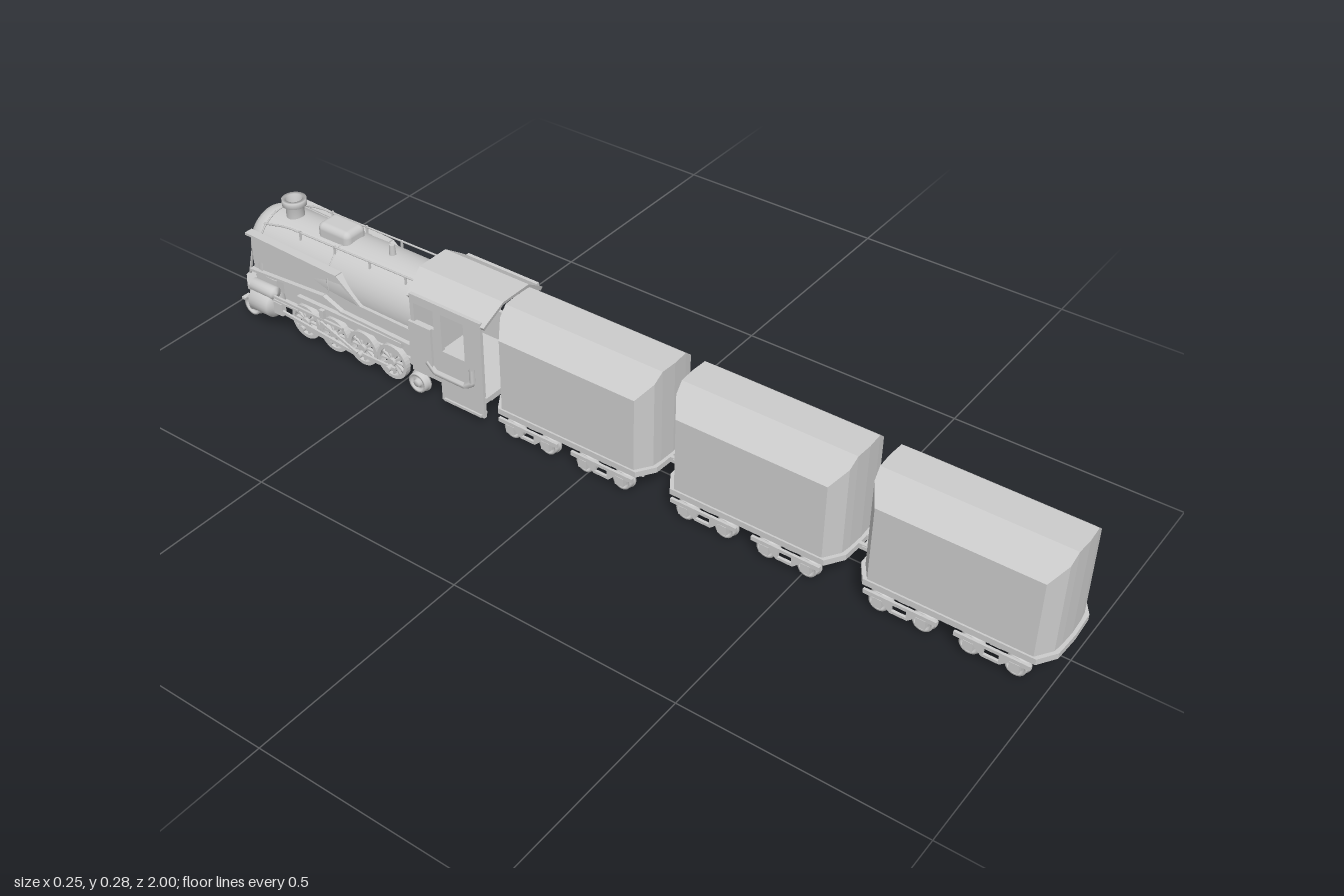
import * as THREE from 'three';
import { mergeGeometries } from 'three/addons/utils/BufferGeometryUtils.js';
import { ConvexGeometry } from 'three/addons/geometries/ConvexGeometry.js';
import { RoundedBoxGeometry } from 'three/addons/geometries/RoundedBoxGeometry.js';

const grey = new THREE.MeshStandardMaterial({ color: 0xcccccc, side: THREE.DoubleSide });
const V = (x, y, z) => new THREE.Vector3(x, y, z);
const SIDES = [-1, 1];

function add(parent, name, geo, x = 0, y = 0, z = 0) {
  const m = new THREE.Mesh(geo, grey);
  m.name = name;
  m.position.set(x, y, z);
  parent.add(m);
  return m;
}
const box = (w, h, d) => new THREE.BoxGeometry(w, h, d);
const axleCyl = (r, w, n = 20) => new THREE.CylinderGeometry(r, r, w, n).rotateZ(Math.PI / 2);
const tube = (pts, r) => {
  const path = new THREE.CurvePath();
  for (let i = 1; i < pts.length; i++) path.add(new THREE.LineCurve3(V(...pts[i - 1]), V(...pts[i])));
  return new THREE.TubeGeometry(path, 8 * (pts.length - 1), r, 6);
};

// Plate with an outline in (z, y), centred on x = 0
function plate(pts, t, holes = []) {
  const toV = p => p.map(([a, b]) => new THREE.Vector2(a, b));
  const s = new THREE.Shape(toV(pts));
  holes.forEach(h => s.holes.push(new THREE.Path(toV(h))));
  return new THREE.ExtrudeGeometry(s, { depth: t, bevelEnabled: false })
    .translate(0, 0, -t / 2).rotateY(-Math.PI / 2);
}
// Bar joining two (z, y) points
function bar(a, b, h, w) {
  const dz = b[0] - a[0], dy = b[1] - a[1];
  return box(w, h, Math.hypot(dz, dy)).rotateX(-Math.atan2(dy, dz))
    .translate(0, (a[1] + b[1]) / 2, (a[0] + b[0]) / 2);
}
// Solid of revolution along z, points are [radius, z]
const latheZ = (pts, n = 40) => new THREE.LatheGeometry(
  pts.map(([r, z]) => new THREE.Vector2(r, -z)), n).rotateX(-Math.PI / 2);

// Disc wheel with flange on its inner side
function discWheel(r) {
  const p = [[0, -.009], [r, -.009], [r, -.005], [r * .9, -.004], [r * .88, .008], [r * .7, .008],
    [r * .62, .003], [r * .35, .003], [r * .3, .01], [0, .01]];
  return new THREE.LatheGeometry(p.map(q => new THREE.Vector2(...q)), 24).toNonIndexed().rotateZ(-Math.PI / 2);
}
// Spoked driving wheel
function spokedWheel(r, n = 12) {
  const ring = new THREE.Shape().absarc(0, 0, r, 0, Math.PI * 2);
  ring.holes.push(new THREE.Path().absarc(0, 0, r * .8, 0, Math.PI * 2, true));
  const rim = new THREE.ExtrudeGeometry(ring, { depth: .014, bevelEnabled: false, curveSegments: 16 })
    .translate(0, 0, -.007).rotateY(Math.PI / 2);
  const parts = [rim, axleCyl(r * .25, .02, 14).toNonIndexed()];
  for (let i = 0; i < n / 2; i++)
    parts.push(box(.007, r * 1.7, .004).rotateX(i / n * 2 * Math.PI).toNonIndexed());
  parts.push(box(.011, r * .3, r * .9).translate(0, r * .65, 0).toNonIndexed());
  return mergeGeometries(parts);
}
function wheelSet(parent, name, geo, z, y, x) {
  for (const s of SIDES) add(parent, name, geo, s * x, y, z).rotation.y = s > 0 ? 0 : Math.PI;
  add(parent, 'axle', axleCyl(.005, 2 * x, 10), 0, y, z);
}

function wagon(zc) {
  const g = new THREE.Group();
  g.name = 'wagon';
  g.position.z = zc;
  // body with bowed ends and sloping roof sides
  const roofY = x => Math.min(.277, .277 - (x - .038) * .84);
  const pts = [];
  for (const [x, z] of [[.094, .165], [.06, .188], [.038, .191], [0, .193]])
    for (const sx of SIDES) for (const sz of SIDES)
      pts.push(V(sx * x, .06, sz * z), V(sx * x, roofY(x), sz * z));
  add(g, 'wagonBody', new ConvexGeometry(pts));
  // floor
  const deck = [];
  for (const [x, z] of [[.098, .172], [.06, .197], [0, .2]])
    for (const sx of SIDES) for (const sz of SIDES)
      deck.push(V(sx * x, .05, sz * z), V(sx * x, .063, sz * z));
  add(g, 'wagonFloor', new ConvexGeometry(deck));
  // trucks
  const wheel = discWheel(.024);
  for (const sz of SIDES) {
    const c = sz * .092;
    for (const d of SIDES) {
      wheelSet(g, 'wagonWheel', wheel, c + d * .045, .024, .087);
      for (const s of SIDES) add(g, 'axleBox', box(.012, .02, .02), s * .098, .027, c + d * .045);
    }
    add(g, 'truckBolster', box(.17, .012, .022), 0, .042, c);
    for (const s of SIDES) {
      add(g, 'truckFrame', plate([[-.075, .045], [.075, .045], [.075, .036], [.035, .034], [.018, .018],
        [-.018, .018], [-.035, .034], [-.075, .036]], .006, [[[-.015, .024], [-.015, .038], [.015, .038], [.015, .024]]]),
      s * .1, 0, c);
      add(g, 'brakeBar', box(.004, .004, .14), s * .055, .021, c);
    }
  }
  return g;
}

function cab() {
  const g = new THREE.Group();
  g.name = 'cab';
  const outline = [[-.265, .015], [-.265, .25], [-.452, .25], [-.452, .06], [-.378, .06], [-.378, .015]];
  const windows = [[[-.31, .14], [-.31, .23], [-.37, .23], [-.37, .14]],
    [[-.39, .185], [-.39, .23], [-.442, .23], [-.442, .185]]];
  for (const s of SIDES) {
    add(g, 'cabSide', plate(outline, .008, windows), s * .09);
    add(g, 'cabLocker', box(.01, .11, .06), s * .095, .13, -.425);
    add(g, 'cabPipe', tube([[0, .13, -.29], [0, .095, -.29], [0, .08, -.31], [0, .08, -.39], [0, .1, -.41]], .007), s * .096);
    add(g, 'cabStep', box(.02, .006, .1), s * .088, .02, -.32);
  }
  // arched roof, longer along the ridge than at the eaves
  const top = [[-.094, .243], [-.085, .25], [-.04, .281], [.04, .281], [.085, .25], [.094, .243]];
  const under = top.map(([x, y]) => [x * .95, y - .008]).reverse();
  const roof = new THREE.ExtrudeGeometry(new THREE.Shape([...top, ...under].map(p => new THREE.Vector2(...p))),
    { depth: .2, bevelEnabled: false }).translate(0, 0, -.1);
  const p = roof.attributes.position;
  for (let i = 0; i < p.count; i++)
    p.setZ(i, p.getZ(i) * (1 + (p.getY(i) - .235) * 2.2));
  roof.computeVertexNormals();
  add(g, 'cabRoof', roof, 0, 0, -.357);
  const wall = new THREE.Shape([[-.088, .06], [.088, .06], [.088, .245], [.04, .275], [-.04, .275], [-.088, .245]]
    .map(q => new THREE.Vector2(...q)));
  add(g, 'cabFrontWall', new THREE.ExtrudeGeometry(wall, { depth: .006, bevelEnabled: false }), 0, 0, -.452);
  add(g, 'cabFloor', box(.18, .012, .2), 0, .06, -.36);
  return g;
}

function engine() {
  const g = new THREE.Group();
  g.name = 'engine';
  g.add(cab());
  // boiler with domed nose
  add(g, 'boiler', latheZ([[.083, -.45], [.083, -.6], [.08, -.75], [.077, -.915]]), 0, .164);
  add(g, 'boilerNose', latheZ([[.077, -.915], [.076, -.927], [.07, -.94], [.055, -.951], [.03, -.958], [0, -.96]]), 0, .164);
  for (const z of [-.5, -.6, -.7, -.8, -.905])
    add(g, 'boilerBand', new THREE.TorusGeometry(.0805 + (z + .7) * -.015 + (z > -.65 ? .002 : 0) - (z < -.75 ? .005 : 0), .002, 6, 40), 0, .164, z);
  add(g, 'firebox', box(.14, .07, .45), 0, .1, -.69);
  add(g, 'mainFrame', box(.15, .012, .68), 0, .058, -.6);
  // chimney, dome
  const stack = [[.02, 0], [.02, .03], [.027, .032], [.027, .046], [.018, .046], [.016, .01]];
  add(g, 'chimney', new THREE.LatheGeometry(stack.map(q => new THREE.Vector2(...q)), 28), 0, .236, -.862);
  add(g, 'sandDome', new RoundedBoxGeometry(.06, .05, .09, 3, .014), 0, .244, -.725);
  add(g, 'safetyValve', new THREE.CylinderGeometry(.006, .008, .03, 12), 0, .255, -.58);
  // side casing, running board, handrails
  const casing = [[-.455, .15], [-.6, .152], [-.665, .203], [-.93, .212], [-.95, .19], [-.955, .14], [-.935, .12],
    [-.71, .135], [-.66, .115], [-.455, .11]];
  const board = [[-.455, .15], [-.6, .152], [-.665, .203], [-.93, .212]];
  const lower = [[-.455, .11], [-.66, .115], [-.71, .135], [-.93, .12]];
  for (const s of SIDES) {
    add(g, 'sideCasing', plate(casing.map(([z, y]) => [Math.max(z, -.925), y]), .012), s * .074);
    for (const line of [board, lower])
      for (let i = 1; i < line.length; i++) add(g, 'runningBoard', bar(line[i - 1], line[i], .006, .02), s * .08);
    add(g, 'handrail', tube([[0, .248, -.46], [0, .242, -.84], [0, .225, -.91]], .0022), s * .05);
    for (const z of [-.5, -.6, -.7, -.8]) add(g, 'railPost', box(.004, .025, .004), s * .05, .235, z);
  }
  // driving wheels and rods
  const drive = spokedWheel(.041), zs = [-.515, -.598, -.681, -.764];
  zs.forEach(z => wheelSet(g, 'drivingWheel', drive, z, .052, .089));
  for (const z of [-.447, -.933]) wheelSet(g, 'carryingWheel', discWheel(.026), z, .026, .087);
  for (const s of SIDES) {
    add(g, 'sideRod', bar([-.5, .042], [-.78, .042], .009, .005), s * .102);
    zs.forEach(z => add(g, 'crankPin', axleCyl(.007, .02, 12), s * .102, .042, z));
    add(g, 'mainRod', bar([-.598, .042], [-.835, .065], .008, .005), s * .109);
    add(g, 'valveRod', bar([-.64, .09], [-.85, .093], .006, .005), s * .107);
    add(g, 'eccentricRod', bar([-.598, .05], [-.7, .088], .006, .004), s * .113);
    add(g, 'valveLink', box(.008, .045, .012), s * .105, .092, -.7);
    add(g, 'crosshead', box(.012, .03, .025), s * .106, .068, -.83);
    add(g, 'slideBar', box(.008, .005, .09), s * .106, .085, -.815);
    add(g, 'springHanger', box(.01, .012, .3), s * .085, .1, -.64);
    // steam cylinder with valve chest
    add(g, 'cylinder', latheZ([[0, -.845], [.018, -.845], [.032, -.853], [.032, -.907], [.018, -.916], [0, -.916]], 24), s * .094, .064);
    add(g, 'valveChest', latheZ([[0, -.84], [.015, -.845], [.015, -.91], [0, -.915]], 18), s * .1, .096);
    add(g, 'cylinderSaddle', box(.08, .06, .06), s * .05, .09, -.88);
  }
  // front apron, headlamp and pilot
  const apron = new THREE.CylinderGeometry(.082, .088, .075, 24, 1, true, Math.PI / 2, Math.PI);
  add(g, 'frontApron', apron, 0, .107, -.895).scale.z = .78;
  add(g, 'headlamp', latheZ([[0, 0], [.014, 0], [.014, -.022], [.01, -.026], [0, -.026]], 20), 0, .13, -.95);
  const deck = [];
  for (const [x, z] of [[.085, -.91], [.082, -.955], [.055, -.985], [.025, -.992]])
    for (const s of SIDES) deck.push(V(s * x, .056, z), V(s * x, .068, z));
  add(g, 'pilotDeck', new ConvexGeometry(deck));
  const arc = x => -.997 + Math.pow(Math.abs(x) / .08, 2) * .045;
  for (let i = -5; i <= 5; i++) {
    const x = i * .0145;
    add(g, 'pilotSlat', bar([arc(x) + .008, .06], [arc(x), .018], .005, .006), x);
  }
  add(g, 'pilotRail', new THREE.TubeGeometry(new THREE.CatmullRomCurve3(
    [-.08, -.04, 0, .04, .08].map(x => V(x, .018, arc(x)))), 24, .003, 6));
  for (const s of SIDES) {
    add(g, 'pilotPost', bar([-.985, .06], [-.962, .145], .004, .005), s * .045);
    add(g, 'pilotStep', box(.02, .006, .03), s * .08, .03, -.955);
  }
  add(g, 'frontCoupler', box(.02, .02, .02), 0, .045, -.988);
  return g;
}

export function createModel() {
  const model = new THREE.Group();
  model.name = 'steamTrain';
  for (const z of [.8, .374, -.052]) model.add(wagon(z));
  model.add(engine());
  // couplings
  for (const z of [.587, .161, -.255]) {
    for (const s of SIDES) add(model, 'coupling', box(.008, .012, .06), s * .014, .057, z);
    add(model, 'couplingPin', box(.04, .008, .012), 0, .057, z);
  }
  return model;
}
